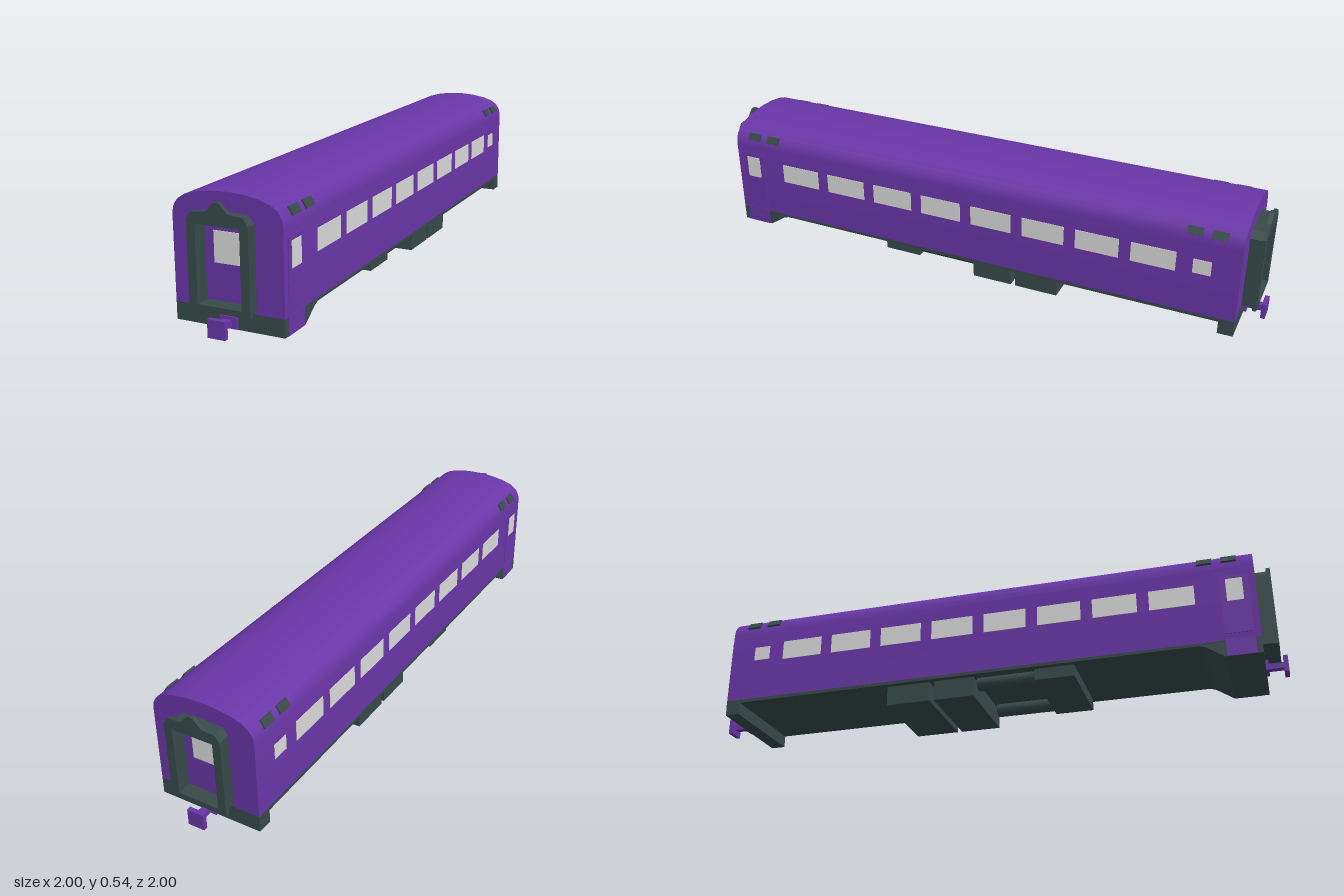
import * as THREE from 'three';
import { toCreasedNormals } from 'three/addons/utils/BufferGeometryUtils.js';

const HALF_W = 0.226, HALF_L = 1.188;

export function createModel() {
  const mat = (name, color) => {
    const m = new THREE.MeshStandardMaterial({ color });
    m.name = name;
    return m;
  };
  const purple = mat('purple paint', 0x6a36a8);
  const dark = mat('dark slate', 0x384a4b);
  const glass = mat('pale glass', 0xdcdcdc);

  // The car runs along its local z axis and stands diagonally
  const car = new THREE.Group();
  car.name = 'passengerCar';
  car.rotation.y = -Math.PI / 4;

  const add = (parent, name, geometry, material) => {
    const mesh = new THREE.Mesh(geometry, material);
    mesh.name = name;
    parent.add(mesh);
    return mesh;
  };
  // Box given by its limits on each axis
  const box = (parent, name, material, [x0, x1], [y0, y1], [z0, z1]) => {
    const g = new THREE.BoxGeometry(x1 - x0, y1 - y0, z1 - z0);
    g.translate((x0 + x1) / 2, (y0 + y1) / 2, (z0 + z1) / 2);
    return add(parent, name, g, material);
  };
  const polygon = pts => new THREE.Shape(pts.map(p => new THREE.Vector2(...p)));
  // Outline mirrored about x = 0, given by its right half from bottom to top
  const mirrored = half => [...half, ...half.filter(p => p[0] > 0).reverse().map(([x, y]) => [-x, y])];
  const extrude = (shape, z0, z1) =>
    new THREE.ExtrudeGeometry(shape, { depth: z1 - z0, bevelEnabled: false }).translate(0, 0, z0);

  // Body shell with rounded roof
  const section = mirrored([
    [HALF_W, 0.1], [HALF_W, 0.43], [0.222, 0.457], [0.214, 0.473], [0.203, 0.488], [0.175, 0.507],
    [0.13, 0.521], [0.07, 0.531], [0, 0.535],
  ]);
  add(car, 'bodyShell', toCreasedNormals(extrude(polygon(section), -HALF_L, HALF_L), 0.6), purple);

  // Floor with end skirts, drawn from the side and extruded across the width
  const floor = polygon([
    [-HALF_L, 0.03], [-1.123, 0.03], [-1.123, 0.085], [0.94, 0.088], [0.965, 0.08],
    [1.04, 0.03], [HALF_L, 0.03], [HALF_L, 0.1], [-HALF_L, 0.1],
  ]);
  add(car, 'floorAndSkirts', extrude(floor, -HALF_W, HALF_W).rotateY(-Math.PI / 2), dark);

  // Side details, the same on both sides
  for (const side of [1, -1]) {
    const plate = (name, material, y, z, out) => {
      const xs = [side * (HALF_W - 0.003), side * (HALF_W + out)].sort((a, b) => a - b);
      return box(car, name, material, xs, y, z);
    };
    for (let i = 0; i < 8; i++) {
      const z = 0.846 - i * 0.2398;
      plate('sideWindow', glass, [0.278, 0.366], [z - 0.0945, z + 0.0945], 0.002);
    }
    plate('smallWindow', glass, [0.289, 0.353], [-1.071, -0.996], 0.002);
    plate('sideDoor', purple, [0.128, 0.392], [1.047, 1.16], 0.003);
    plate('sideDoorWindow', glass, [0.273, 0.374], [1.069, 1.137], 0.005);
    plate('doorStepPanel', purple, [0.03, 0.105], [1.047, 1.165], 0.002);

    // Vents lying on the curve of the roof
    for (const z of [1.09, 0.99, -0.99, -1.09]) {
      const vent = add(car, 'roofVent', new THREE.BoxGeometry(0.014, 0.036, 0.062), dark);
      vent.position.set(side * 0.214, 0.472, z);
      vent.rotation.z = side * 0.55;
    }

    // Tank under the floor
    const tank = add(car, 'airTank', new THREE.CylinderGeometry(0.032, 0.032, 0.27, 16), dark);
    tank.rotation.x = Math.PI / 2;
    tank.position.set(side * 0.155, 0.068, 0.125);
  }

  // Equipment boxes under the floor
  box(car, 'shallowEquipmentBox', dark, [-0.2, 0.2], [0.037, 0.09], [0.25, 0.42]);
  box(car, 'equipmentBox', dark, [-0.2, 0.2], [0, 0.09], [-0.2, -0.02]);
  box(car, 'equipmentBox', dark, [-0.2, 0.2], [0, 0.09], [-0.415, -0.22]);

  // Gangway, end door and coupler, the same at both ends
  const opening = () => new THREE.Path(
    [[-0.09, 0.13], [-0.09, 0.425], [0.09, 0.425], [0.09, 0.13]].map(p => new THREE.Vector2(...p)));
  const frame = (half, z0, z1) => {
    const shape = polygon(mirrored(half));
    shape.holes.push(opening());
    return extrude(shape, z0, z1);
  };
  for (const end of [1, -1]) {
    const gangway = new THREE.Group();
    gangway.name = end > 0 ? 'frontEnd' : 'rearEnd';
    gangway.rotation.y = end > 0 ? 0 : Math.PI;
    car.add(gangway);
    add(gangway, 'gangwayBellows',
      frame([[0.113, 0.115], [0.113, 0.43], [0.09, 0.46], [0, 0.465]], HALF_L - 0.005, 1.237), dark);
    add(gangway, 'gangwayFlange',
      frame([[0.125, 0.107], [0.125, 0.44], [0.105, 0.468], [0.045, 0.474], [0.012, 0.508], [0, 0.51]],
        1.235, 1.252), dark);
    box(gangway, 'endDoor', purple, [-0.089, 0.089], [0.131, 0.424], [HALF_L - 0.002, HALF_L + 0.003]);
    box(gangway, 'endDoorWindow', glass, [-0.052, 0.052], [0.273, 0.392], [HALF_L, HALF_L + 0.006]);
    box(gangway, 'couplerMount', purple, [-0.035, 0.035], [0.035, 0.08], [HALF_L - 0.01, HALF_L + 0.012]);
    box(gangway, 'couplerShank', purple, [-0.015, 0.015], [0.045, 0.07], [HALF_L, 1.265]);
    box(gangway, 'couplerHead', purple, [-0.036, 0.036], [0.022, 0.092], [1.26, 1.279]);
  }

  const model = new THREE.Group();
  model.name = 'railwayCar';
  model.add(car);
  return model;
}
